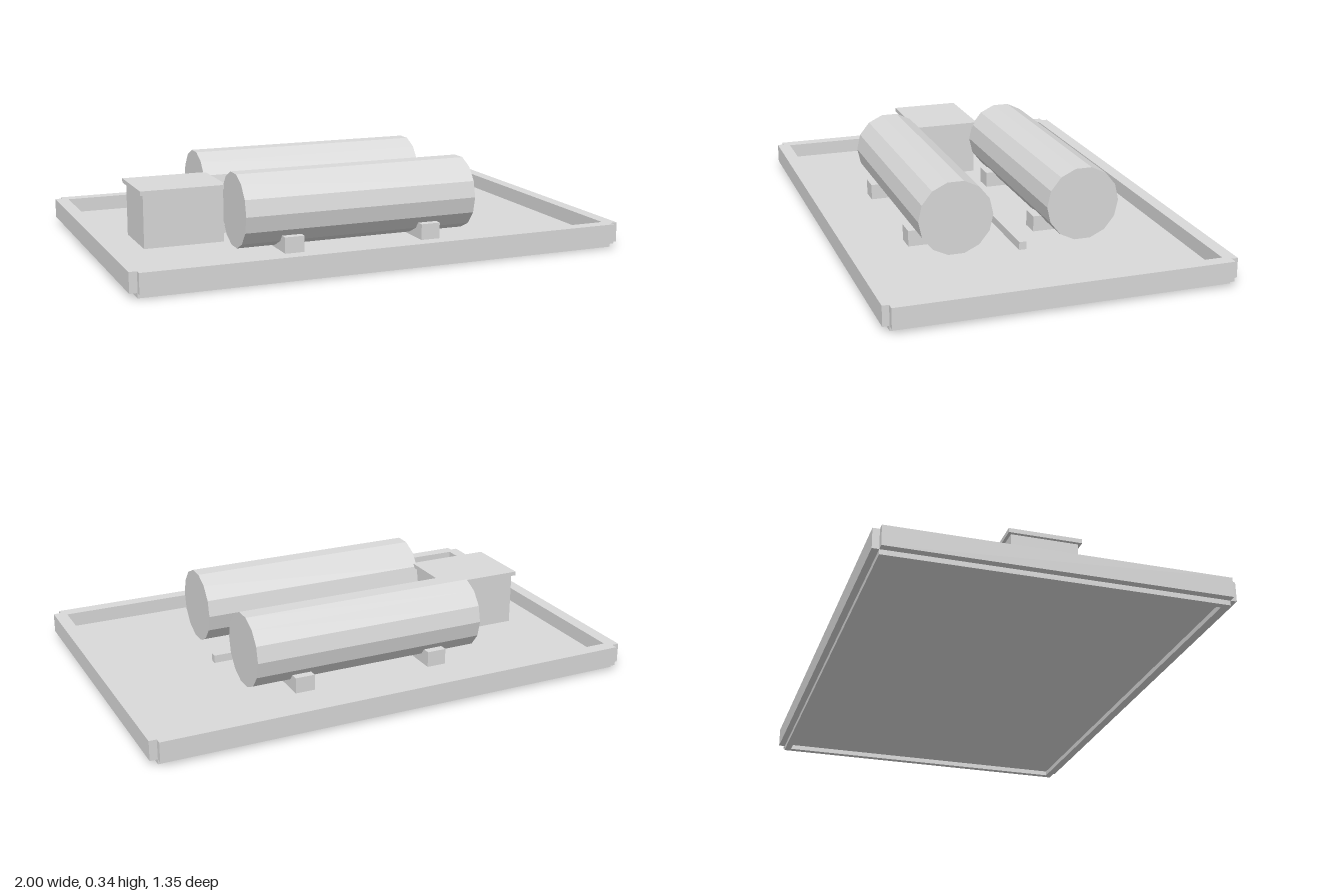
import * as THREE from 'three';

export function createModel() {
  const model = new THREE.Group();
  model.name = 'tankSkid';
  const grey = new THREE.MeshStandardMaterial({ color: 0xd9d9d9, flatShading: true });
  grey.name = 'plain grey';

  // Box given by its min and max on each axis
  const box = (name, [x0, x1], [y0, y1], [z0, z1]) => {
    const mesh = new THREE.Mesh(new THREE.BoxGeometry(x1 - x0, y1 - y0, z1 - z0), grey);
    mesh.position.set((x0 + x1) / 2, (y0 + y1) / 2, (z0 + z1) / 2);
    mesh.name = name;
    model.add(mesh);
  };

  // Tray: raised floor panel inside a ring of kerbs, notched at the corners,
  // with a narrower foot rim under the kerbs
  const floorY = [0.0195, 0.039], kerbY = [0.0195, 0.098], rimY = [0, 0.0195];
  box('floorPanel', [-0.95, 0.95], floorY, [-0.625, 0.625]);
  for (const [side, s] of [['front', 1], ['back', -1]]) {
    const span = (a, b) => (s > 0 ? [a, b] : [-b, -a]);
    box(side + 'Kerb', [-0.97, 0.97], kerbY, span(0.623, 0.676));
    box(side + 'FootRim', [-0.97, 0.97], rimY, span(0.623, 0.65));
  }
  for (const [side, s] of [['left', 1], ['right', -1]]) {
    const span = (a, b) => (s > 0 ? [a, b] : [-b, -a]);
    box(side + 'Kerb', span(0.948, 1), kerbY, [-0.65, 0.65]);
    box(side + 'FootRim', span(0.945, 0.97), rimY, [-0.623, 0.623]);
  }

  // Two lying tanks, each on a pair of saddles
  for (const [side, z] of [['front', 0.259], ['back', -0.259]]) {
    const tank = new THREE.Mesh(new THREE.CylinderGeometry(0.149, 0.149, 0.972, 14), grey);
    tank.rotation.z = Math.PI / 2;
    tank.position.set(0, 0.194, z);
    tank.name = side + 'Tank';
    model.add(tank);
    for (const x of [-0.29, 0.29])
      box(side + 'Saddle', [x - 0.04, x + 0.04], [0.038, 0.103], [z - 0.146, z + 0.146]);
  }

  // Pump house with an overhanging lid
  box('pumpHouse', [-0.81, -0.485], [0.0195, 0.253], [-0.13, 0.13]);
  box('pumpHouseLid', [-0.823, -0.474], [0.253, 0.27], [-0.142, 0.142]);

  // Square pipe running between the tanks
  box('pipe', [-0.5, 0.515], [0.045, 0.077], [-0.0145, 0.0145]);

  return model;
}
